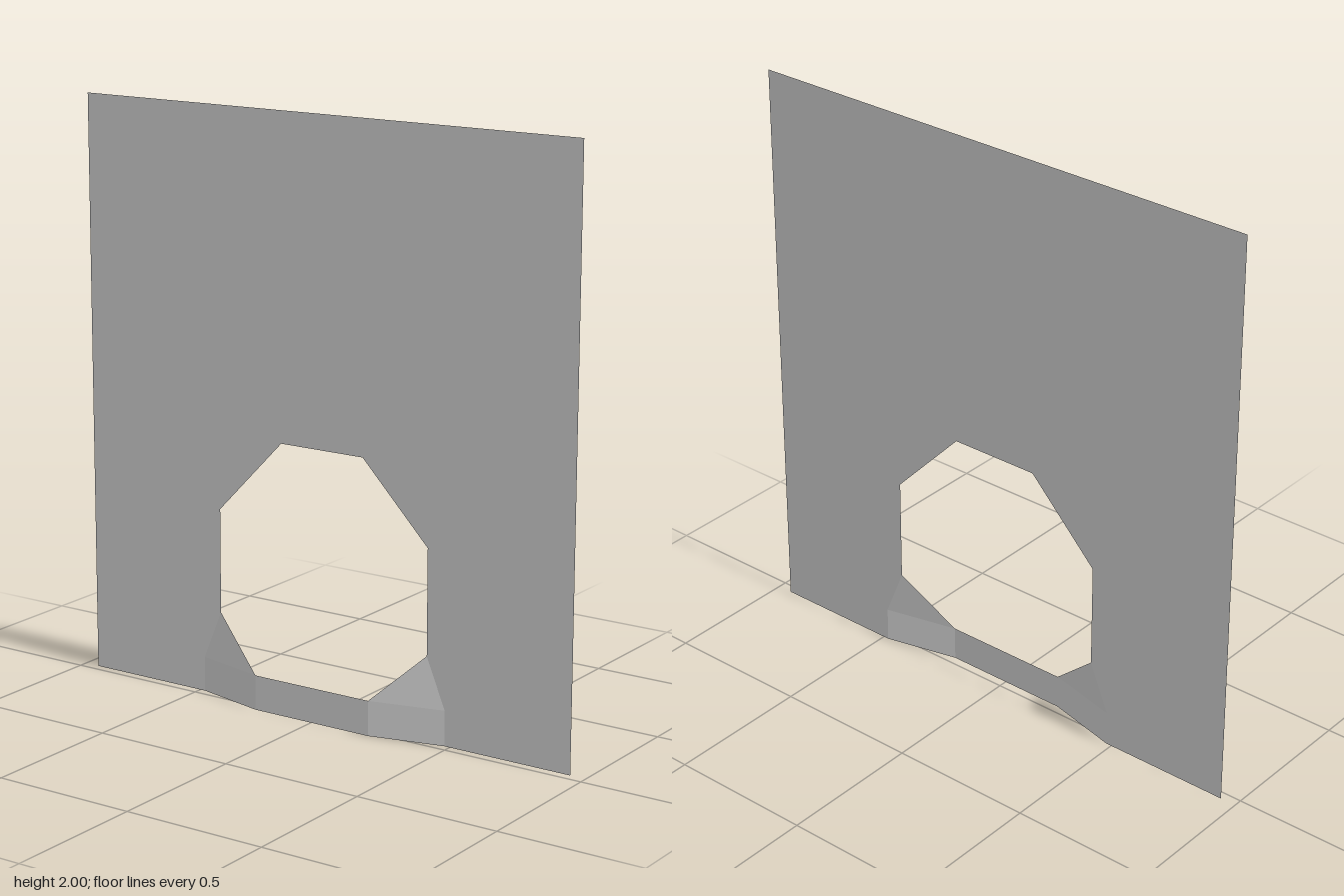
import * as THREE from 'three';

const BACK = -0.03, FRONT = 0.03;

export function createModel() {
  const group = new THREE.Group();
  const material = new THREE.MeshStandardMaterial({
    color: 0xcccccc, flatShading: true, side: THREE.DoubleSide,
  });
  const add = (name, geometry) => {
    const mesh = new THREE.Mesh(geometry, material);
    mesh.name = name;
    group.add(mesh);
    return mesh;
  };

  // Flat wall panel with an arched opening reaching the lower edge
  const half = [[0.16, 0.91], [0.41, 0.65], [0.41, 0.29], [0.48, 0.12], [0.48, 0], [0.945, 0], [0.945, 2]];
  const mirrored = half.map(([x, y]) => [-x, y]).reverse();
  const outline = [...half, ...mirrored].map(([x, y]) => new THREE.Vector2(x, y));
  add('wallPanel', new THREE.ShapeGeometry(new THREE.Shape(outline))).position.z = BACK;

  // Raised sill strip across the foot of the opening
  add('sill', new THREE.PlaneGeometry(0.45, 0.12)).position.set(0, 0.06, FRONT);

  // Slanted cheeks joining the sill to the panel
  for (const side of [1, -1]) {
    const corners = [
      [0.225, 0, FRONT], [0.48, 0, BACK], [0.48, 0.12, BACK],
      [0.225, 0, FRONT], [0.48, 0.12, BACK], [0.225, 0.12, FRONT],
      [0.225, 0.12, FRONT], [0.48, 0.12, BACK], [0.41, 0.29, BACK],
    ].map(([x, y, z]) => new THREE.Vector3(side * x, y, z));
    if (side < 0) corners.reverse();
    const geometry = new THREE.BufferGeometry().setFromPoints(corners);
    geometry.computeVertexNormals();
    add(side > 0 ? 'leftCheek' : 'rightCheek', geometry);
  }

  return group;
}
